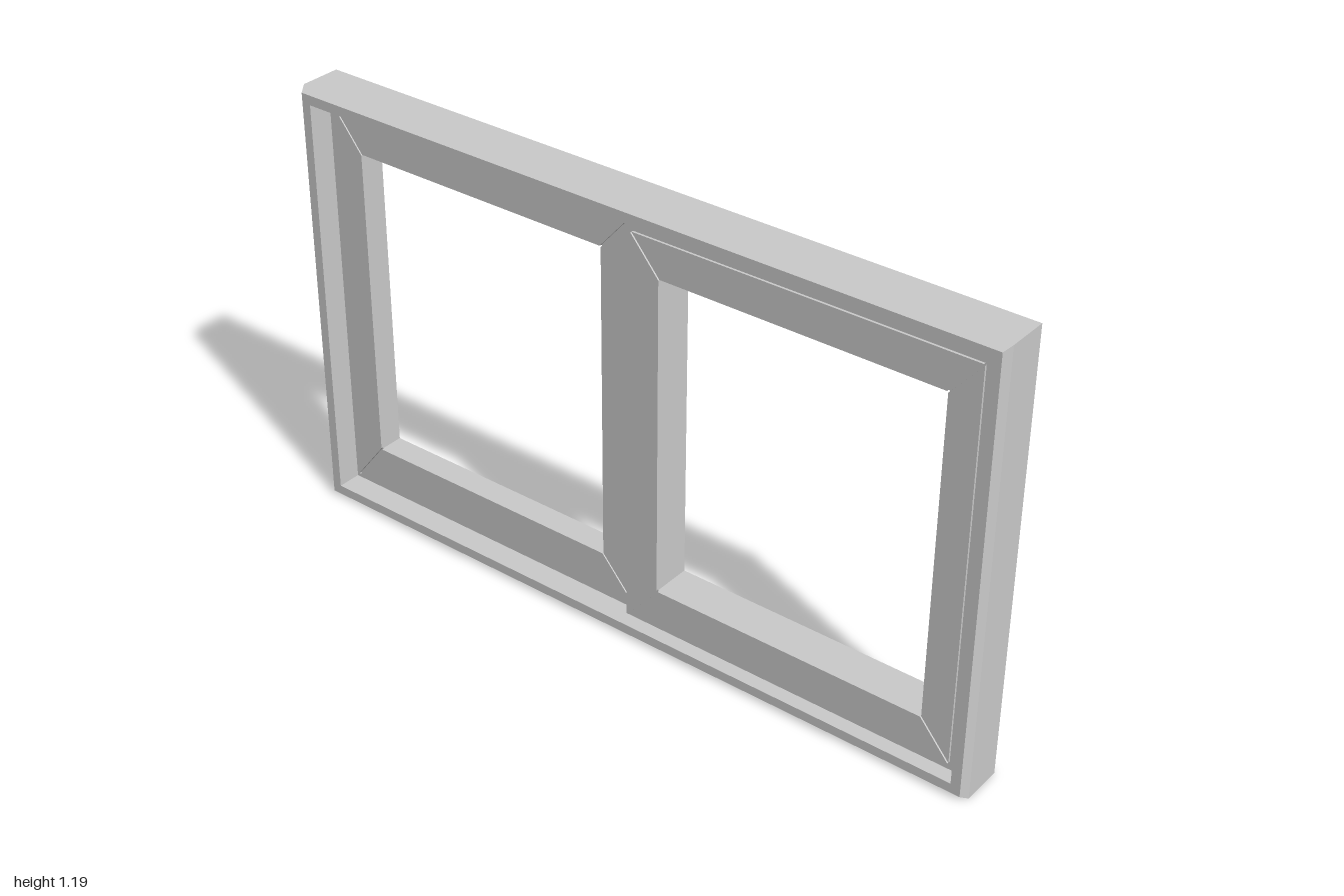
import * as THREE from 'three';

const material = new THREE.MeshStandardMaterial({ color: 0xcccccc, flatShading: true });
const H = 1.193, BACK = -0.066, FRONT = 0.066;

const corners = ([x0, y0, x1, y1]) => [[x0, y0], [x1, y0], [x1, y1], [x0, y1]];
const inset = ([x0, y0, x1, y1], d) => [x0 + d, y0 + d, x1 - d, y1 - d];

// Mitred rectangular ring: a closed section of [rectangle, z] steps,
// ordered outer back, outer front, inner front, inner back.
function ring(section) {
  const pos = [];
  section.forEach(([rect, z], j) => {
    const [nextRect, nextZ] = section[(j + 1) % section.length];
    const a = corners(rect), b = corners(nextRect);
    for (let k = 0; k < 4; k++) {
      const n = (k + 1) % 4;
      const A = [...a[k], z], B = [...a[n], z], C = [...b[n], nextZ], D = [...b[k], nextZ];
      pos.push(...A, ...B, ...C, ...A, ...C, ...D);
    }
  });
  const geo = new THREE.BufferGeometry();
  geo.setAttribute('position', new THREE.Float32BufferAttribute(pos, 3));
  geo.computeVertexNormals();
  return geo;
}

function add(group, name, geo) {
  const mesh = new THREE.Mesh(geo, material);
  mesh.name = name;
  group.add(mesh);
  return mesh;
}

// Sash: a base ring with four face boards parted by fine mitre grooves
function makeSash(name, outer, opening, face, front) {
  const sash = new THREE.Group();
  sash.name = name;
  const step = 0.006, gap = 0.003;
  const z = front - step;
  add(sash, 'sashCore', ring([[outer, BACK], [outer, z], [opening, z], [opening, BACK]]));

  const o = corners(face), i = corners(opening);
  ['bottomRail', 'rightStile', 'topRail', 'leftStile'].forEach((label, k) => {
    const n = (k + 1) % 4;
    const dir = new THREE.Vector2(o[n][0] - o[k][0], o[n][1] - o[k][1]).normalize().multiplyScalar(gap);
    const at = (p, s) => new THREE.Vector2(p[0] + s * dir.x, p[1] + s * dir.y);
    const shape = new THREE.Shape([at(o[k], 1), at(o[n], -1), at(i[n], -1), at(i[k], 1)]);
    const geo = new THREE.ExtrudeGeometry(shape, { depth: step, bevelEnabled: false });
    add(sash, label, geo).position.z = z;
  });
  return sash;
}

export function createModel() {
  const model = new THREE.Group();
  model.name = 'slidingWindow';

  // Outer frame: chamfered front edge and a stepped rebate inside
  const rect = [-1, 0, 1, H];
  const section = [
    [0, BACK], [0, 0.045], [0.012, FRONT], [0.038, FRONT],
    [0.038, 0], [0.047, 0], [0.047, BACK],
  ];
  add(model, 'outerFrame', ring(section.map(([d, z]) => [inset(rect, d), z])));

  // Two sashes, the one at +x standing further forward
  const bottom = 0.05, top = H - 0.05;
  const rear = [-0.95, bottom, -0.001, top];
  const fore = [0.001, bottom, 0.95, top];
  model.add(makeSash('rearSash', rear, [-0.86, 0.165, -0.1, 1.03], rear, 0.004));
  model.add(makeSash('frontSash', fore, [0.1, 0.165, 0.86, 1.03], [0.02, 0.07, 0.94, 1.125], 0.045));
  return model;
}
